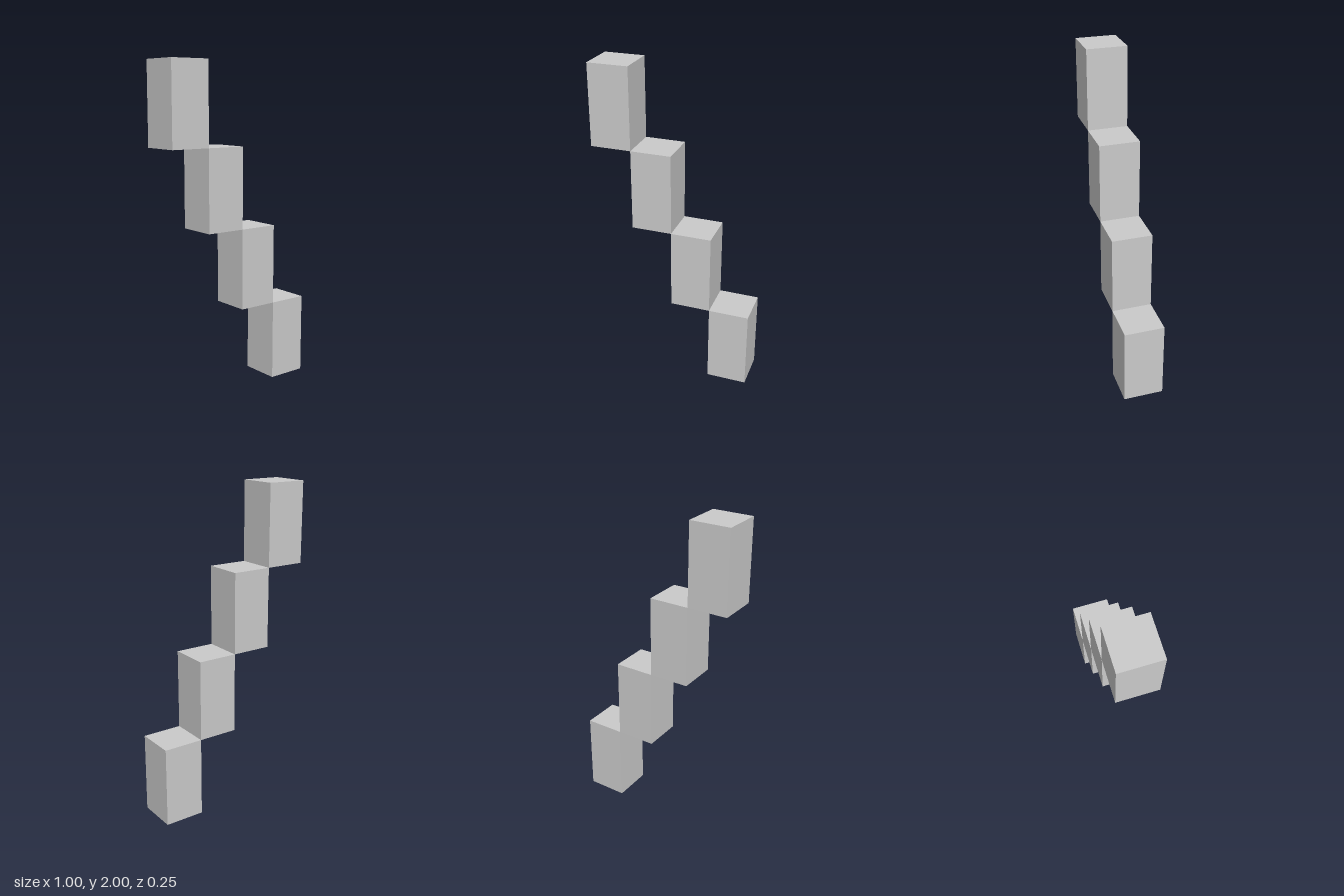
import * as THREE from 'three';

const STEPS = 4;
const WIDTH = 0.25, HEIGHT = 0.5, DEPTH = 0.25;

export function createModel() {
  const group = new THREE.Group();
  group.name = 'blockStaircase';
  const material = new THREE.MeshStandardMaterial({ color: 0xcccccc, flatShading: true });
  const geometry = new THREE.BoxGeometry(WIDTH, HEIGHT, DEPTH);

  // Blocks meeting edge to edge, climbing from +x at the bottom to -x at the top
  for (let i = 0; i < STEPS; i++) {
    const block = new THREE.Mesh(geometry, material);
    block.name = `stepBlock${i + 1}`;
    block.position.set(((STEPS - 1) / 2 - i) * WIDTH, (i + 0.5) * HEIGHT, 0);
    group.add(block);
  }
  return group;
}
